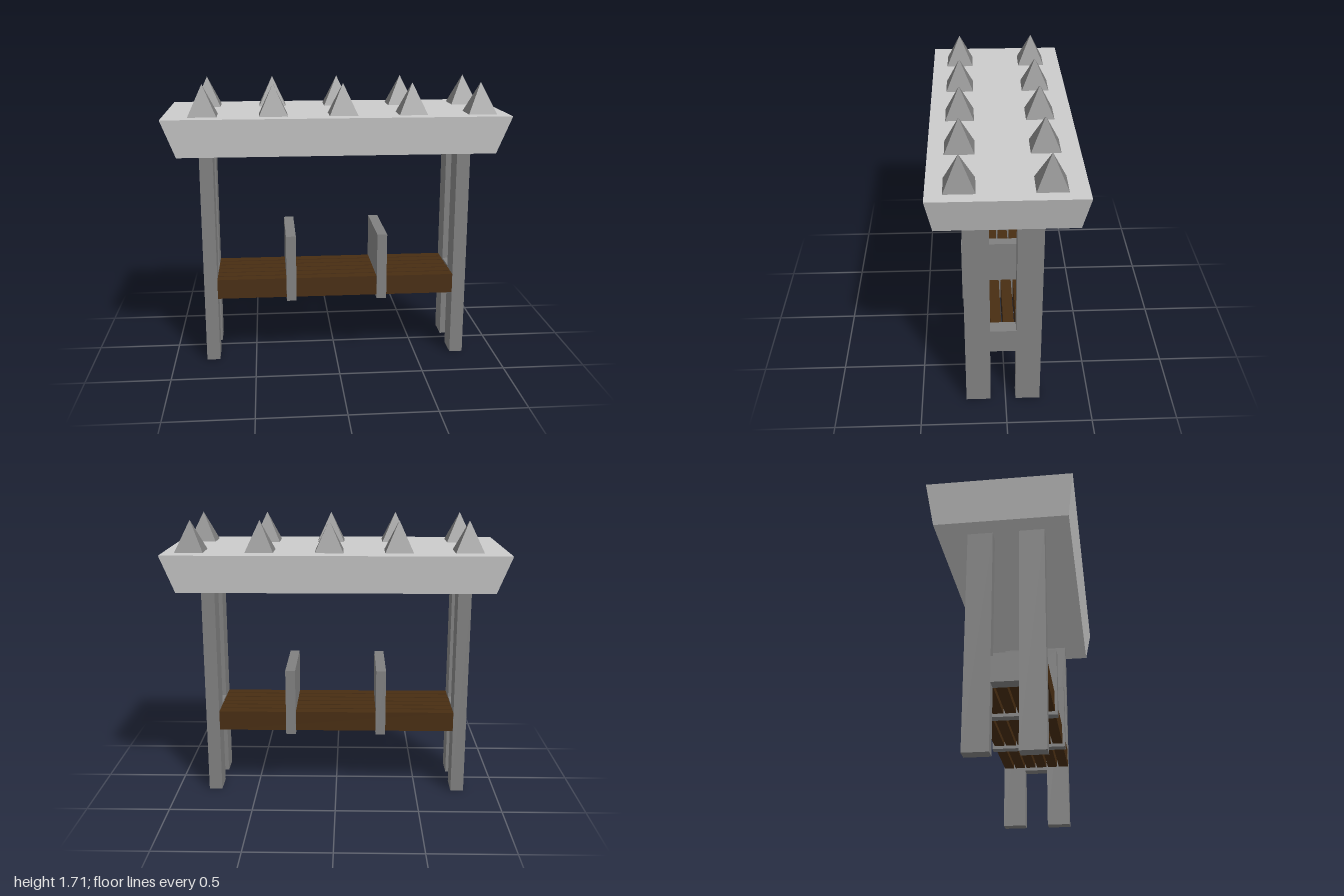
import * as THREE from 'three';

const material = (color) => new THREE.MeshStandardMaterial({ color, flatShading: true });

export function createModel() {
  const model = new THREE.Group();
  const paleStone = material(0xcccccc);
  const darkStone = material(0x808080);
  const wood = material(0x482d12);

  const add = (name, geometry, mat, x, y, z) => {
    const mesh = new THREE.Mesh(geometry, mat);
    mesh.name = name;
    mesh.position.set(x, y, z);
    model.add(mesh);
    return mesh;
  };
  // Box given by its lowest and highest corner
  const addBox = (name, mat, [x0, y0, z0], [x1, y1, z1]) =>
    add(name, new THREE.BoxGeometry(x1 - x0, y1 - y0, z1 - z0), mat,
      (x0 + x1) / 2, (y0 + y1) / 2, (z0 + z1) / 2);

  // H-shaped end frames: two posts joined by a rail
  for (const side of [-1, 1]) {
    const x0 = side * 0.765 - 0.04, x1 = x0 + 0.08;
    addBox('frontPost', darkStone, [x0, 0, 0.09], [x1, 1.305, 0.235]);
    addBox('backPost', darkStone, [x0, 0, -0.205], [x1, 1.305, -0.06]);
    addBox('endRail', darkStone, [x0, 0.38, -0.06], [x1, 0.53, 0.09]);
  }

  // Bench planks with narrow gaps
  const planks = 6, gap = 0.012, back = -0.2, front = 0.234;
  const plankWidth = (front - back - gap * (planks - 1)) / planks;
  for (let i = 0; i < planks; i++) {
    const z = back + i * (plankWidth + gap);
    addBox('benchPlank', wood, [-0.725, 0.4, z], [0.725, 0.52, z + plankWidth]);
  }

  // Upright dividers across the bench
  for (const x of [-0.275, 0.28]) {
    addBox('benchDivider', darkStone, [x - 0.03, 0.38, -0.215], [x + 0.03, 0.79, 0.25]);
  }

  // Roof slab, narrower at the bottom
  const roof = new THREE.BoxGeometry(2, 0.22, 0.826);
  const p = roof.attributes.position;
  for (let i = 0; i < p.count; i++) {
    if (p.getY(i) < 0) {
      p.setX(i, p.getX(i) * 0.92);
      p.setZ(i, p.getZ(i) * 0.92);
    }
  }
  roof.computeVertexNormals();
  add('roof', roof, paleStone, 0, 1.415, 0);

  // Two rows of square spikes
  const spike = new THREE.ConeGeometry(0.0825 * Math.SQRT2, 0.18, 4);
  spike.rotateY(Math.PI / 4);
  for (const z of [0.24, -0.225]) {
    for (let i = 0; i < 5; i++) {
      add('roofSpike', spike, darkStone, -0.772 + i * 0.405, 1.615, z);
    }
  }

  return model;
}
